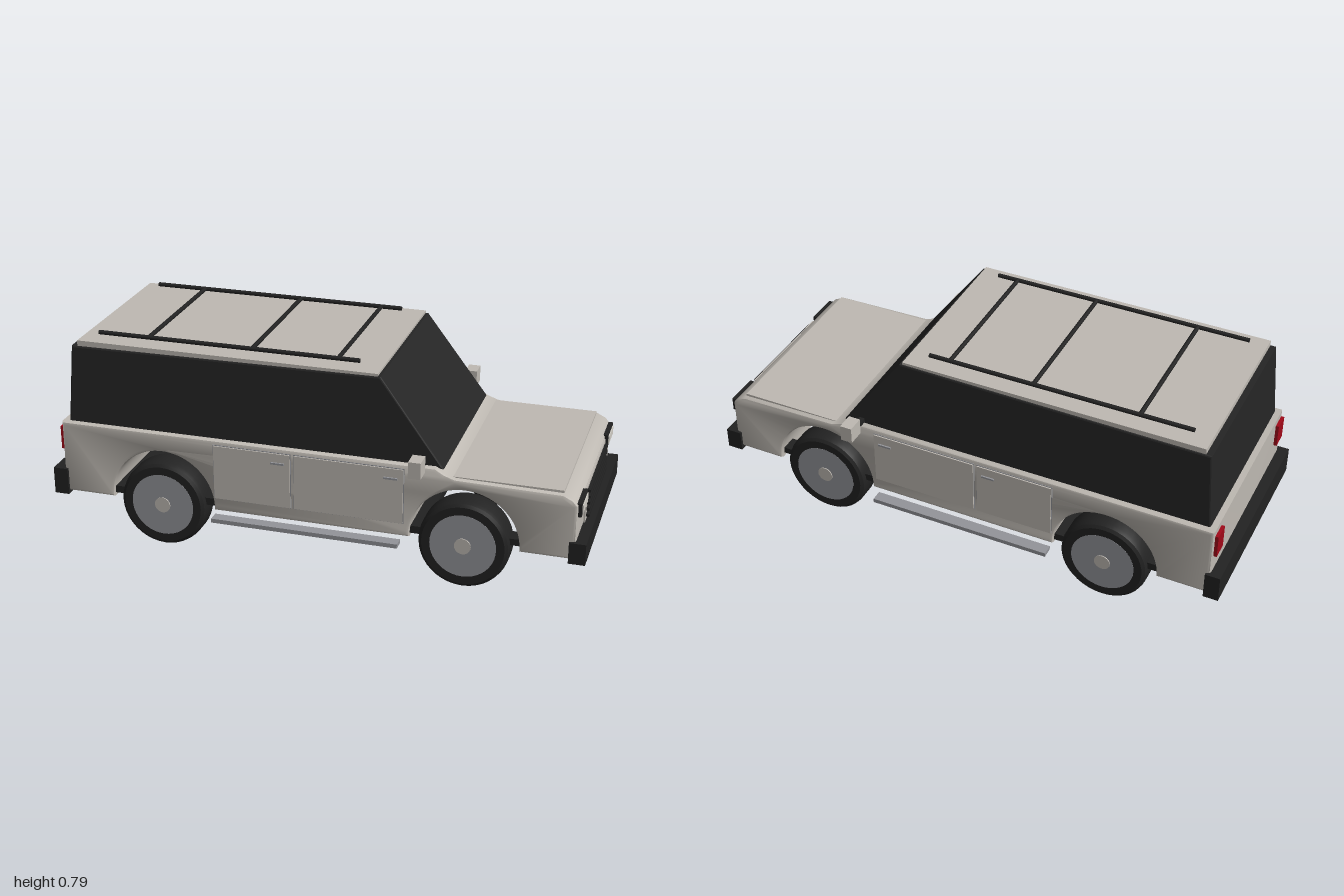
import * as THREE from 'three';
import { toCreasedNormals } from 'three/addons/utils/BufferGeometryUtils.js';

const mat = (name, color) => {
  const m = new THREE.MeshStandardMaterial({ color });
  m.name = name;
  return m;
};

export function createModel() {
  const paint = mat('body paint', 0xbfbab3);
  const black = mat('black trim', 0x222222);
  const glass = mat('dark glass', 0x252525);
  const metal = mat('grey metal', 0x94959a);
  const red = mat('red lens', 0xa00818);
  const lens = mat('pale lens', 0xcfccc4);
  const car = new THREE.Group();
  car.name = 'car';

  const add = (name, geo, material, parent = car) => {
    const mesh = new THREE.Mesh(geo, material);
    mesh.name = name;
    parent.add(mesh);
    return mesh;
  };
  // box given by its limits on each axis
  const box = (name, material, x0, x1, y0, y1, z0, z1) => {
    const mesh = add(name, new THREE.BoxGeometry(x1 - x0, y1 - y0, z1 - z0), material);
    mesh.position.set((x0 + x1) / 2, (y0 + y1) / 2, (z0 + z1) / 2);
    return mesh;
  };
  // same box on both sides, z0 < z1 measured outwards
  const pair = (name, material, x0, x1, y0, y1, z0, z1) => {
    box(name + 'Left', material, x0, x1, y0, y1, -z1, -z0);
    box(name + 'Right', material, x0, x1, y0, y1, z0, z1);
  };
  // side profile extruded across the car, with bevelled edges
  const extrudeAcross = (shape, halfWidth, bevel) => {
    const geo = new THREE.ExtrudeGeometry(shape, {
      depth: 2 * (halfWidth - bevel), bevelEnabled: true, bevelThickness: bevel,
      bevelSize: bevel, bevelOffset: -bevel, bevelSegments: 2, curveSegments: 24,
    });
    return geo.translate(0, 0, -(halfWidth - bevel));
  };

  const axles = [-0.565, 0.568];
  const axleY = 0.17;

  // lower body with wheel arches
  const side = new THREE.Shape();
  side.moveTo(-0.96, 0.17);
  for (const x of axles) {
    side.lineTo(x - 0.198, 0.17);
    side.absarc(x, 0.18, 0.198, Math.PI, 0, true);
    side.lineTo(x + 0.198, 0.17);
  }
  [[0.962, 0.17], [0.962, 0.375], [0.945, 0.395], [0.91, 0.412], [0.53, 0.418],
    [0.49, 0.432], [0.46, 0.45], [-0.96, 0.45]].forEach(p => side.lineTo(...p));
  side.closePath();
  add('body', toCreasedNormals(extrudeAcross(side, 0.38, 0.012), 0.6), paint);
  box('hood', paint, 0.5, 0.91, 0.405, 0.421, -0.36, 0.36);

  // greenhouse, leaning inwards towards the roof
  const cabin = new THREE.Shape();
  [[-0.938, 0.44], [0.485, 0.44], [0.25, 0.755], [-0.915, 0.743]].forEach((p, i) =>
    i ? cabin.lineTo(...p) : cabin.moveTo(...p));
  cabin.closePath();
  const cabinGeo = extrudeAcross(cabin, 0.356, 0.006);
  const pos = cabinGeo.attributes.position;
  for (let i = 0; i < pos.count; i++) {
    pos.setZ(i, pos.getZ(i) * (1 - 0.1 * (pos.getY(i) - 0.44)));
  }
  cabinGeo.computeVertexNormals();
  add('windows', cabinGeo, glass);
  box('roof', paint, -0.893, 0.24, 0.735, 0.764, -0.34, 0.34);

  // roof rack
  const bar = (name, length, x, z, along) => {
    const mesh = add(name, new THREE.CylinderGeometry(0.008, 0.008, length, 10), black);
    if (along) mesh.rotation.z = Math.PI / 2;
    else mesh.rotation.x = Math.PI / 2;
    mesh.position.set(x, 0.783, z);
  };
  for (const z of [-0.283, 0.283]) bar('roofRail', 0.99, -0.335, z, true);
  for (const x of [-0.635, -0.24, 0.08]) bar('roofCrossBar', 0.566, x, 0, false);

  // floor and the bracket ahead of the front wheels
  box('floor', black, -0.95, 0.42, 0.182, 0.21, -0.365, 0.365);
  pair('archBracket', black, 0.72, 0.78, 0.185, 0.21, 0.3, 0.36);

  // wheels
  const tyreProfile = [[0.118, -0.055], [0.15, -0.055], [0.161, -0.047], [0.165, -0.03],
    [0.165, 0.03], [0.161, 0.047], [0.15, 0.055], [0.118, 0.055], [0.118, -0.055]]
    .map(p => new THREE.Vector2(...p));
  const tyreGeo = toCreasedNormals(new THREE.LatheGeometry(tyreProfile, 40), 0.6);
  const rimGeo = new THREE.CylinderGeometry(0.12, 0.12, 0.111, 40);
  const hubGeo = new THREE.CylinderGeometry(0.03, 0.03, 0.118, 20);
  for (const x of axles) {
    for (const s of [-1, 1]) {
      const wheel = new THREE.Group();
      wheel.name = 'wheel';
      add('tyre', tyreGeo, black, wheel);
      add('rim', rimGeo, metal, wheel);
      add('hub', hubGeo, paint, wheel);
      wheel.rotation.x = s * Math.PI / 2;
      wheel.position.set(x, axleY, s * 0.334);
      car.add(wheel);
    }
  }

  // doors, with dark gaps behind them, and handles
  for (const [x0, x1] of [[-0.36, -0.07], [-0.055, 0.348]]) {
    pair('doorGap', metal, x0 - 0.003, x1 + 0.003, 0.222, 0.436, 0.375, 0.382);
    pair('door', paint, x0, x1, 0.225, 0.433, 0.378, 0.387);
    pair('doorHandle', metal, x1 - 0.07, x1 - 0.02, 0.393, 0.4, 0.385, 0.393);
  }
  pair('runningBoard', metal, -0.36, 0.34, 0.145, 0.161, 0.385, 0.428);

  // mirrors
  pair('mirrorArm', black, 0.4, 0.422, 0.454, 0.47, 0.345, 0.41);
  pair('mirror', paint, 0.387, 0.432, 0.447, 0.509, 0.41, 0.475);

  // bumpers and skid plate
  box('frontBumper', black, 0.94, 1, 0.16, 0.24, -0.39, 0.39);
  box('rearBumper', black, -1, -0.944, 0.16, 0.263, -0.39, 0.39);
  box('skidPlate', metal, 0.91, 0.98, 0.13, 0.162, -0.238, 0.238);

  // grille and lamps
  box('grillePanel', paint, 0.955, 0.968, 0.24, 0.374, -0.22, 0.22);
  for (let i = 0; i < 5; i++) {
    const y = 0.261 + i * 0.024;
    box('grilleBar', black, 0.96, 0.98, y - 0.005, y + 0.005, -0.205, 0.205);
  }
  pair('headlightFrame', black, 0.935, 0.974, 0.331, 0.381, 0.238, 0.366);
  pair('headlight', lens, 0.97, 0.978, 0.341, 0.372, 0.25, 0.354);
  pair('tailLight', red, -0.972, -0.95, 0.335, 0.425, 0.3, 0.365);
  return car;
}
